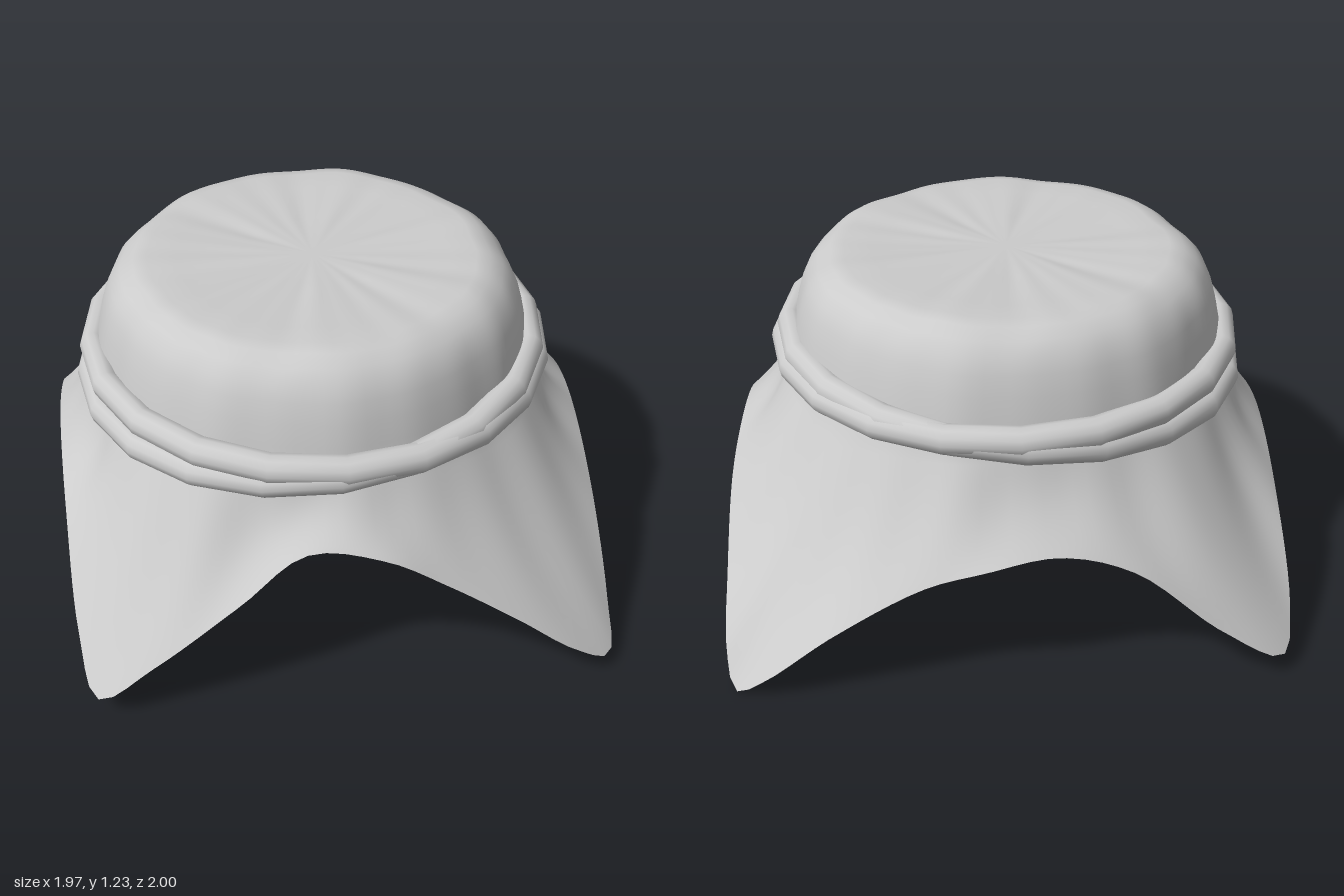
import * as THREE from 'three';

const CX = -0.035; // the gathered neck sits slightly off centre
const COLS = 144, SKIRT_ROWS = 12;

// Closed hem of the square cloth: x, y, z, starting at the middle of the front
const HEM = [
  [-0.17, 0.62, 0.92], [0.08, 0.6, 0.96], [0.3, 0.47, 0.97], [0.55, 0.3, 0.99], [0.75, 0.15, 1.0], [0.9, 0.06, 0.95],
  [0.93, 0.16, 0.78], [0.93, 0.42, 0.48], [0.94, 0.56, 0.1], [0.97, 0.48, -0.29], [0.98, 0.27, -0.61], [0.98, 0.1, -0.82],
  [0.95, 0.0, -0.92], [0.85, 0.07, -0.97], [0.6, 0.27, -0.99], [0.3, 0.44, -0.98], [0.1, 0.51, -1.0],
  [-0.15, 0.54, -0.97], [-0.4, 0.46, -0.96], [-0.7, 0.22, -0.98], [-0.93, 0.08, -0.95],
  [-0.98, 0.16, -0.8], [-0.98, 0.42, -0.48], [-0.98, 0.57, -0.03], [-0.97, 0.46, 0.4], [-0.95, 0.2, 0.76],
  [-0.9, 0.08, 0.95], [-0.7, 0.22, 0.97], [-0.4, 0.45, 0.95],
];

// Radius and height of the covered lid, from the flat top down to the neck
const LID = [
  [0.25, 1.215], [0.48, 1.22], [0.58, 1.225], [0.63, 1.215], [0.675, 1.185],
  [0.71, 1.145], [0.735, 1.09], [0.755, 1.02], [0.772, 0.94], [0.782, 0.88], [0.795, 0.83],
];

// Soft irregular folds around the cloth
const folds = (a) => 0.5 * Math.sin(7 * a + 0.6) + 0.3 * Math.sin(13 * a + 2) + 0.2 * Math.sin(22 * a + 1);

function clothGeometry() {
  const curve = new THREE.CatmullRomCurve3(HEM.map((p) => new THREE.Vector3(...p)), true);
  const hem = curve.getSpacedPoints(COLS).slice(0, COLS);
  const pos = [CX, 1.215, 0], index = [];
  const angles = hem.map((p) => Math.atan2(p.x - CX, p.z));
  const ring = (a, r, y) => new THREE.Vector3(CX + r * Math.sin(a), y, r * Math.cos(a));

  // Lid rows, puckered at the shoulder
  LID.forEach(([r, y], i) => {
    const pucker = i > 1 ? 0.009 : 0.002;
    angles.forEach((a) => pos.push(...ring(a, r + pucker * folds(a), y + (i < 5 ? 0.005 * folds(a + 1) : 0))));
  });

  // Skirt rows, running from the neck out to the hem
  const [neckR, neckY] = LID[LID.length - 1];
  for (let i = 1; i <= SKIRT_ROWS; i++) {
    const t = i / SKIRT_ROWS;
    hem.forEach((h, j) => {
      const a = angles[j];
      const p = ring(a, neckR + 0.009 * folds(a), neckY).lerp(h, t);
      const push = Math.sin(Math.PI * t) * (0.016 * folds(a) - 0.02);
      pos.push(p.x + push * Math.sin(a), p.y + push * 0.5, p.z + push * Math.cos(a));
    });
  }

  const rows = LID.length + SKIRT_ROWS;
  const at = (i, j) => 1 + i * COLS + (j % COLS);
  for (let j = 0; j < COLS; j++) {
    index.push(0, at(0, j), at(0, j + 1));
    for (let i = 0; i < rows - 1; i++) {
      index.push(at(i, j), at(i + 1, j), at(i, j + 1));
      index.push(at(i + 1, j), at(i + 1, j + 1), at(i, j + 1));
    }
  }
  const g = new THREE.BufferGeometry();
  g.setAttribute('position', new THREE.Float32BufferAttribute(pos, 3));
  g.setIndex(index);
  g.computeVertexNormals();
  return g;
}

export function createModel() {
  const group = new THREE.Group();
  const material = new THREE.MeshStandardMaterial({ color: 0xcccccc, side: THREE.DoubleSide });

  const cloth = new THREE.Mesh(clothGeometry(), material);
  cloth.name = 'clothCover';
  group.add(cloth);

  // Two loops of cord around the neck, one tilted across the other
  const addCord = (name, x, y, tilt) => {
    const g = new THREE.TorusGeometry(0.81, 0.052, 12, 20).rotateX(Math.PI / 2);
    const cord = new THREE.Mesh(g, material);
    cord.name = name;
    cord.scale.set(0.985, 1, 1.01);
    cord.position.set(x, y, 0.01);
    cord.rotation.z = tilt;
    group.add(cord);
  };
  addCord('upperCord', -0.03, 0.89, -0.016);
  addCord('tiltedCord', -0.05, 0.86, 0.088);

  return group;
}
